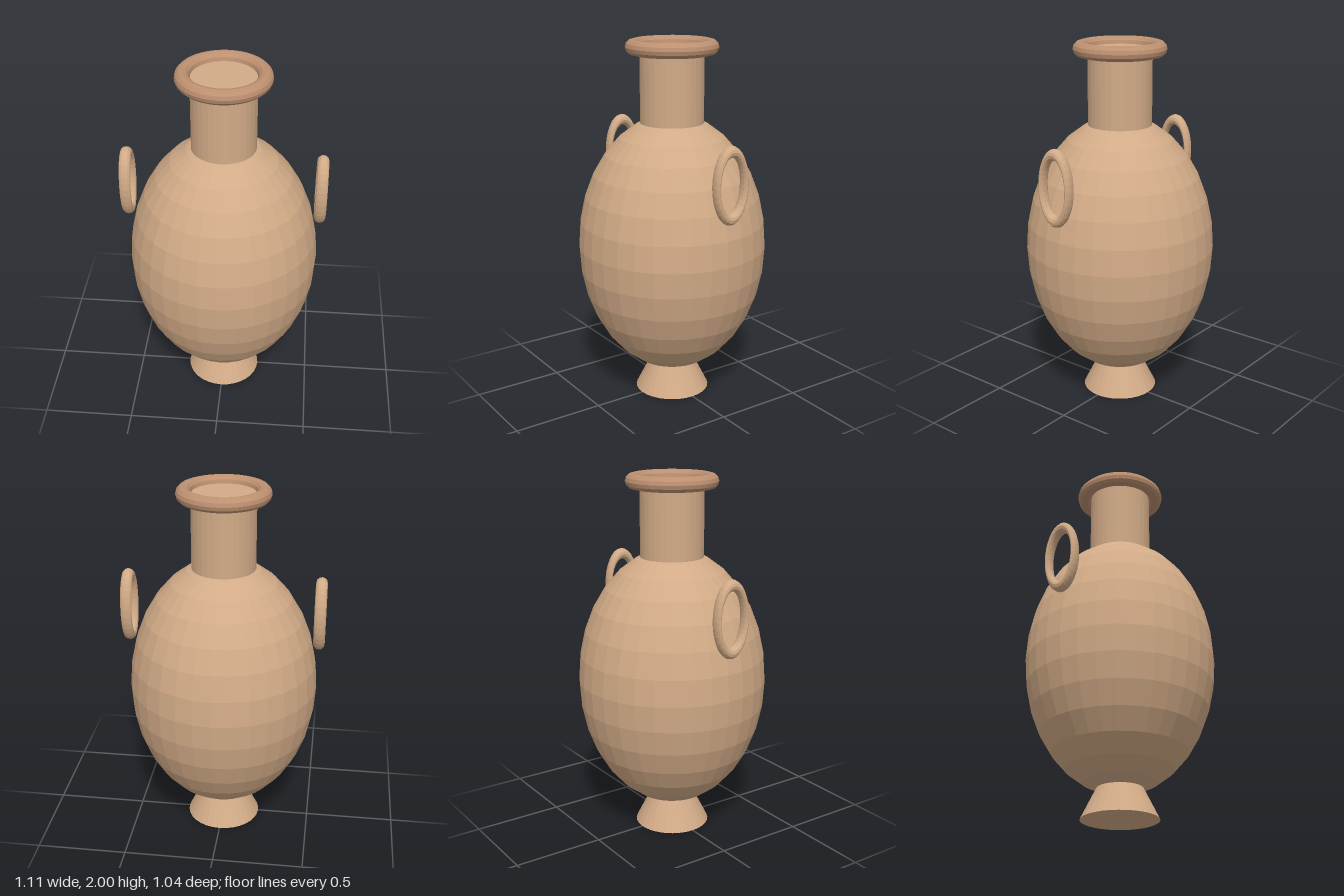
import * as THREE from 'three';

export function createModel() {
  const group = new THREE.Group();
  const clay = new THREE.MeshStandardMaterial({ color: 0xd2ab87, flatShading: true });
  const rimClay = new THREE.MeshStandardMaterial({ color: 0xbd9070, flatShading: true });

  const add = (name, geometry, x, y, material = clay) => {
    const mesh = new THREE.Mesh(geometry, material);
    mesh.name = name;
    mesh.position.set(x, y, 0);
    group.add(mesh);
    return mesh;
  };

  // Flared foot, running up into the body
  add('foot', new THREE.CylinderGeometry(0.104, 0.208, 0.208, 32), 0, 0.104);

  // Egg-shaped body
  add('body', new THREE.SphereGeometry(0.52, 32, 16).scale(1, 1.4, 1), 0, 0.87);

  // Straight neck, closed by a disc inside the rim
  add('neck', new THREE.CylinderGeometry(0.173, 0.173, 0.46, 32), 0, 1.73);

  // Rolled rim
  add('rim', new THREE.TorusGeometry(0.21, 0.04, 12, 48).rotateX(Math.PI / 2), 0, 1.96, rimClay);

  // Narrow oval ring handles on both sides
  for (const [name, side] of [['leftHandle', 1], ['rightHandle', -1]]) {
    const ring = new THREE.TorusGeometry(0.177, 0.031, 12, 32).scale(0.5, 1, 1).rotateY(Math.PI / 2);
    add(name, ring, side * 0.523, 1.312);
  }

  return group;
}
